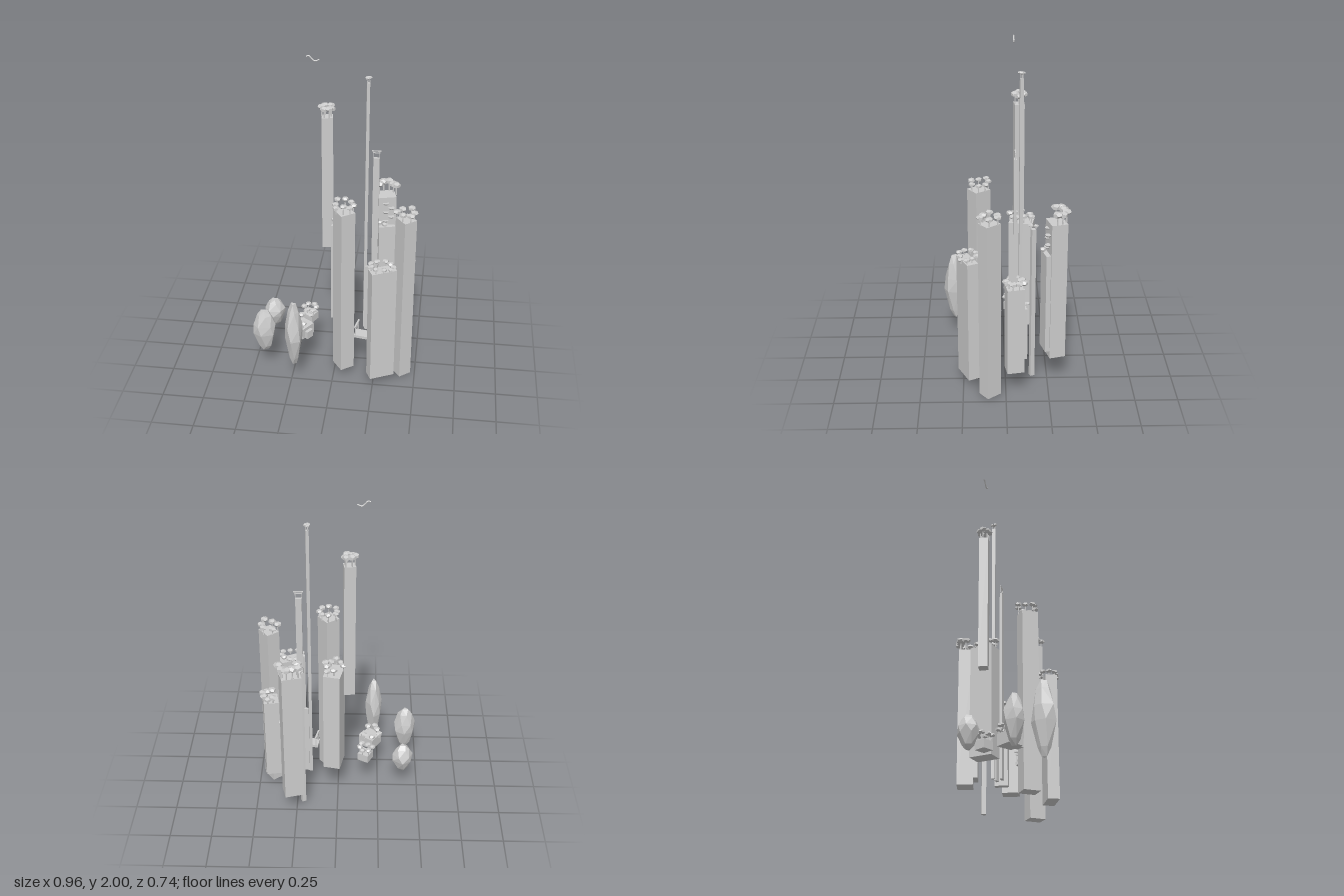
import * as THREE from 'three';
import { ConvexGeometry } from 'three/addons/geometries/ConvexGeometry.js';

const material = new THREE.MeshStandardMaterial({ color: 0xcccccc, flatShading: true, side: THREE.DoubleSide });

let seed = 7;
function rand(a, b) {
  seed = (seed * 16807) % 2147483647;
  return a + (b - a) * (seed / 2147483647);
}

function add(parent, name, geometry, x, y, z) {
  const mesh = new THREE.Mesh(geometry, material);
  mesh.name = name;
  mesh.position.set(x, y, z);
  parent.add(mesh);
  return mesh;
}

// Upright block given by its footprint, bottom, top and turn
function block(parent, name, x, z, w, d, y0, y1, turn = 0) {
  const mesh = add(parent, name, new THREE.BoxGeometry(w, y1 - y0, d), x, (y0 + y1) / 2, z);
  mesh.rotation.y = turn;
}

// Cushion of leaves on a thin trunk
function tree(parent, x, z, ground, height, r) {
  const top = ground + height * rand(0.85, 1.15);
  add(parent, 'trunk', new THREE.CylinderGeometry(r * 0.12, r * 0.2, top - ground, 5), x, (top + ground) / 2, z);
  const crown = add(parent, 'crown', new THREE.DodecahedronGeometry(r * 1.08), x, top, z);
  crown.scale.y = 0.62;
  crown.rotation.y = rand(0, 6);
}

// Block whose top carries trees along an arc of its rim, measured in turns from +x towards +z
function pillar(parent, name, x, z, w, d, y0, y1, turn, { count, height, r, from = 0, to = 1 }) {
  const g = new THREE.Group();
  g.name = name;
  block(g, 'stone', x, z, w, d, y0, y1, turn);
  const c = Math.abs(Math.cos(turn)) / 2, s = Math.abs(Math.sin(turn)) / 2;
  const rx = w * c + d * s, rz = w * s + d * c;
  const gaps = to - from < 1 ? count - 1 : count;
  for (let i = 0; i < count; i++) {
    const a = (from + (to - from) * (i / gaps)) * Math.PI * 2;
    const k = i % 2 ? rand(0.8, 0.95) : rand(0.6, 0.85);
    tree(g, x + Math.cos(a) * rx * k, z + Math.sin(a) * rz * k, y1, height, r);
  }
  parent.add(g);
}

// Crystal-like boulder hulled from uneven rings
function boulder(parent, x, z, rx, rz, y0, y1) {
  const points = [];
  [[0, 0.25], [0.12, 0.55], [0.45, 1], [0.65, 0.98], [0.88, 0.6], [1, 0.28]].forEach(([t, s], ring) => {
    const n = s < 0.3 ? 3 : 6;
    for (let i = 0; i < n; i++) {
      const a = (i / n) * Math.PI * 2 + ring * 0.3 + rand(-0.15, 0.15);
      const k = s * rand(0.92, 1.06);
      points.push(new THREE.Vector3(Math.cos(a) * rx * k, y0 + (y1 - y0) * t, Math.sin(a) * rz * k));
    }
  });
  add(parent, 'floatingBoulder', new ConvexGeometry(points), x, 0, z);
}

// Gate with two posts, a tie beam and a wider top beam
function gate(parent, x, y, z, width, height, turn) {
  const g = new THREE.Group();
  g.name = 'gate';
  const t = width * 0.07;
  for (const s of [-1, 1]) block(g, 'gatePost', s * width * 0.32, 0, t, t, 0, height);
  block(g, 'gateTieBeam', 0, 0, width * 0.8, t, height * 0.65, height * 0.75);
  block(g, 'gateTopBeam', 0, 0, width, t * 1.8, height * 0.9, height);
  g.position.set(x, y, z);
  g.rotation.y = turn;
  parent.add(g);
}

export function createModel() {
  const model = new THREE.Group();
  model.name = 'floatingPillars';

  // Broad pillars
  pillar(model, 'rearPillar', 0.265, -0.29, 0.115, 0.095, 0.185, 1.04, 0.26,
    { count: 6, height: 0.062, r: 0.027, from: 0.48, to: 1 });
  pillar(model, 'leftPillar', 0.405, -0.05, 0.09, 0.1, 0.16, 0.7, 0.18,
    { count: 6, height: 0.035, r: 0.022, from: -0.33, to: 0.27 });
  pillar(model, 'frontLeftPillar', 0.412, 0.092, 0.082, 0.096, 0, 1.095, 0.66, { count: 6, height: 0.045, r: 0.022 });
  pillar(model, 'frontPillar', 0.292, 0.2175, 0.152, 0.069, 0.065, 0.82, 0.44, { count: 9, height: 0.026, r: 0.018 });
  pillar(model, 'frontRightPillar', 0.06, 0.15, 0.09, 0.1, 0.065, 1.155, 0.62, { count: 8, height: 0.045, r: 0.019 });
  pillar(model, 'middlePillar', 0.022, -0.1, 0.1, 0.14, 0.27, 0.94, -0.2,
    { count: 8, height: 0.038, r: 0.021, from: -0.25, to: 0.5 });
  pillar(model, 'highPillar', -0.065, -0.083, 0.066, 0.055, 0.78, 1.63, 0.15, { count: 6, height: 0.052, r: 0.023 });
  pillar(model, 'lowPillar', 0.325, -0.085, 0.04, 0.08, 0.19, 0.52, 0.1, { count: 4, height: 0.03, r: 0.016 });

  // Needle-thin pillars
  pillar(model, 'rearNeedle', 0.213, -0.16, 0.026, 0.026, 0, 0.97, 0.4,
    { count: 2, height: 0.02, r: 0.014, from: 0.25, to: 0.75 });
  pillar(model, 'tallNeedle', 0.165, -0.09, 0.018, 0.02, 0.19, 1.84, 0.15, { count: 3, height: 0.028, r: 0.013 });
  block(model, 'gateNeedle', 0.222, -0.055, 0.036, 0.015, 0.2, 1.4);

  // Small floating islands
  pillar(model, 'smallIsland', -0.17, -0.045, 0.07, 0.07, 0.25, 0.3, -0.5, { count: 6, height: 0.04, r: 0.018 });
  pillar(model, 'steppedIsland', -0.2, 0.11, 0.1, 0.1, 0.25, 0.32, -0.6,
    { count: 6, height: 0.03, r: 0.02, from: 0.2, to: 0.85 });
  pillar(model, 'gateTerrace', 0.188, 0.097, 0.13, 0.068, 0.25, 0.268, -0.17,
    { count: 4, height: 0.03, r: 0.02, from: -0.1, to: 0.15 });

  // Ledges attached to pillars and islands
  pillar(model, 'pillarLedge', 0.28, -0.232, 0.1, 0.03, 0.23, 0.85, 0.26,
    { count: 2, height: 0.02, r: 0.018, from: 0.3, to: 0.55 });
  block(model, 'slimLedge', 0.183, -0.075, 0.034, 0.015, 0.18, 0.65, -0.2);
  block(model, 'islandStep', -0.165, 0.14, 0.05, 0.05, 0.25, 0.3, -0.6);

  // Stepping stones climbing the rear pillar
  for (let i = 0; i < 5; i++) {
    add(model, 'steppingStone', new THREE.CylinderGeometry(0.02, 0.014, 0.01, 7),
      i % 2 ? 0.305 : 0.27, 0.88 + i * 0.03, -0.24);
  }

  gate(model, 0.222, 1.4, -0.055, 0.055, 0.045, 0);
  gate(model, 0.135, 0.268, 0.085, 0.085, 0.065, 1.36);

  boulder(model, -0.4, -0.06, 0.064, 0.06, 0.18, 0.37);
  boulder(model, -0.418, 0.195, 0.073, 0.056, 0.17, 0.46);
  boulder(model, -0.22, 0.305, 0.055, 0.068, 0.165, 0.6);

  // Ribbon winding through the sky
  const path = new THREE.CatmullRomCurve3([[-0.175, 1.993], [-0.16, 1.996], [-0.143, 1.979], [-0.128, 1.968], [-0.103, 1.977]]
    .map(([x, y]) => new THREE.Vector3(x, y, -0.055)));
  add(model, 'skyRibbon', new THREE.TubeGeometry(path, 20, 0.004, 6), 0, 0, 0);

  // Tiny drifting pebbles
  for (let i = 0; i < 8; i++) {
    const a = (i / 8) * Math.PI * 2;
    add(model, 'pebble', new THREE.TetrahedronGeometry(0.002),
      0.008 + Math.cos(a) * 0.016, 0.34 + i * 0.008, 0.018 + Math.sin(a) * 0.016);
  }
  return model;
}
